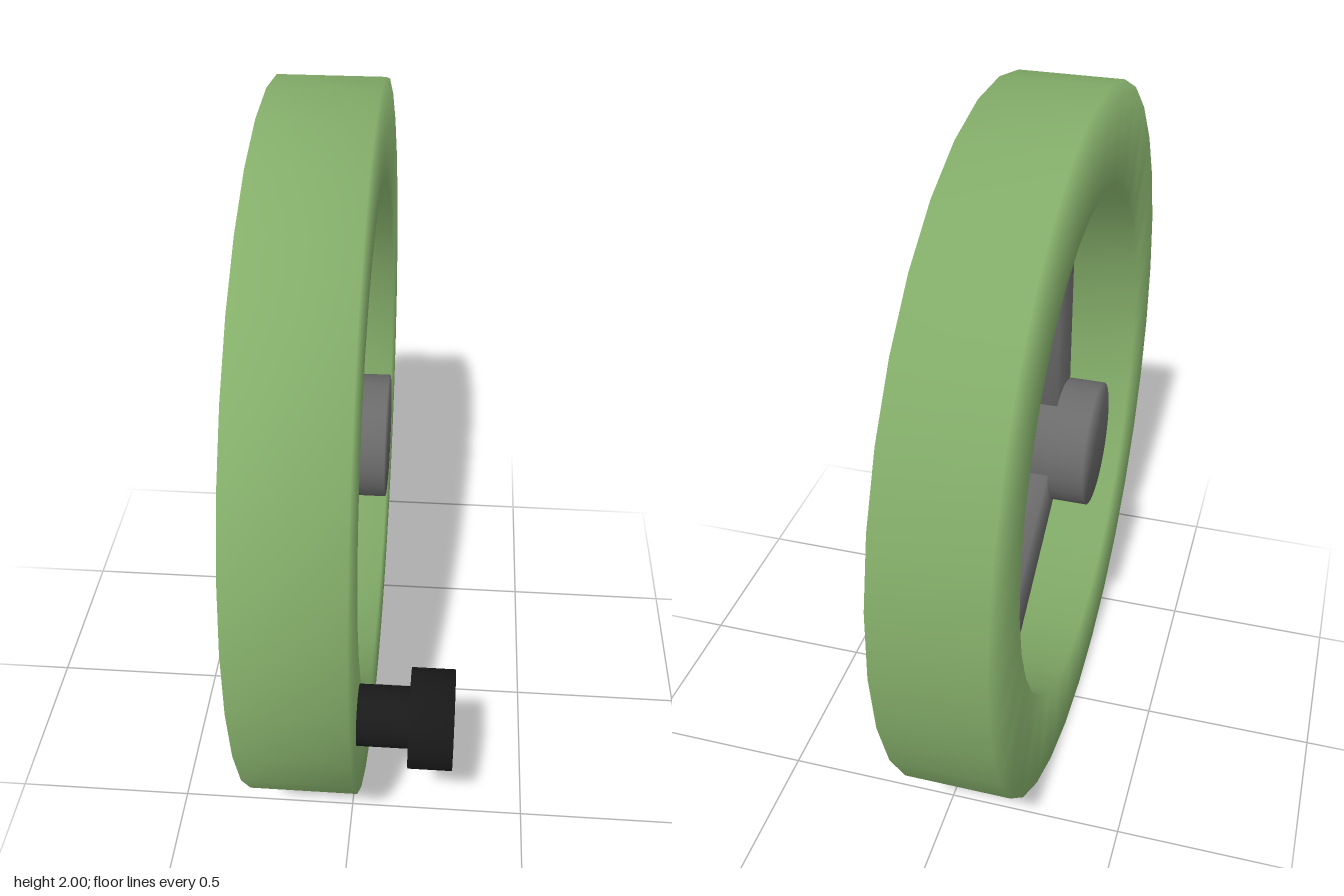
import * as THREE from 'three';
import { mergeVertices } from 'three/addons/utils/BufferGeometryUtils.js';

const green = new THREE.MeshStandardMaterial({ color: 0x8cb870 });
const grey = new THREE.MeshStandardMaterial({ color: 0x6c6c6c });
const black = new THREE.MeshStandardMaterial({ color: 0x1a1a1a });

// Shares normals across all edges for a soft low-poly look
function soften(geometry) {
  geometry.deleteAttribute('normal');
  geometry.deleteAttribute('uv');
  const merged = mergeVertices(geometry);
  merged.computeVertexNormals();
  return merged;
}

function addMesh(parent, name, geometry, material) {
  const mesh = new THREE.Mesh(geometry, material);
  mesh.name = name;
  parent.add(mesh);
  return mesh;
}

// Cylinder lying along x, from x0 to x1
function axle(radius, x0, x1, sides) {
  const g = new THREE.CylinderGeometry(radius, radius, x1 - x0, sides);
  g.rotateZ(-Math.PI / 2);
  g.translate((x0 + x1) / 2, 0, 0);
  return soften(g);
}

export function createModel() {
  const model = new THREE.Group();
  model.name = 'handWheel';
  const wheel = new THREE.Group();
  wheel.name = 'wheel';
  wheel.position.set(0, 1, 0);
  model.add(wheel);

  const midX = -0.11;

  // Rim: square section swept around the x axis
  const inner = 0.72, outer = 1.0, half = 0.145;
  const section = [[inner, -half], [outer, -half], [outer, half], [inner, half], [inner, -half]]
    .map(([r, h]) => new THREE.Vector2(r, h));
  const rim = new THREE.LatheGeometry(section, 32);
  rim.rotateZ(-Math.PI / 2);
  rim.rotateX(THREE.MathUtils.degToRad(-3.75));
  rim.translate(midX, 0, 0);
  addMesh(wheel, 'rim', soften(rim), green);

  // Hub
  addMesh(wheel, 'hub', axle(0.175, -0.285, 0.065, 32), grey);

  // Three square spokes
  const spokeLength = 0.76;
  const bar = new THREE.CylinderGeometry(0.11, 0.11, spokeLength, 4);
  bar.rotateY(Math.PI / 4);
  bar.translate(midX, spokeLength / 2, 0);
  const spoke = soften(bar);
  for (let i = 0; i < 3; i++) {
    addMesh(wheel, 'spoke', spoke, grey).rotation.x = (i * Math.PI * 2) / 3;
  }

  // Crank handle on the rim
  const handle = new THREE.Group();
  handle.name = 'handle';
  handle.position.set(0, -0.405, 0.705);
  wheel.add(handle);
  addMesh(handle, 'handleStem', axle(0.08, 0, 0.18, 24), black);
  addMesh(handle, 'handleKnob', axle(0.13, 0.17, 0.285, 32), black);

  return model;
}
